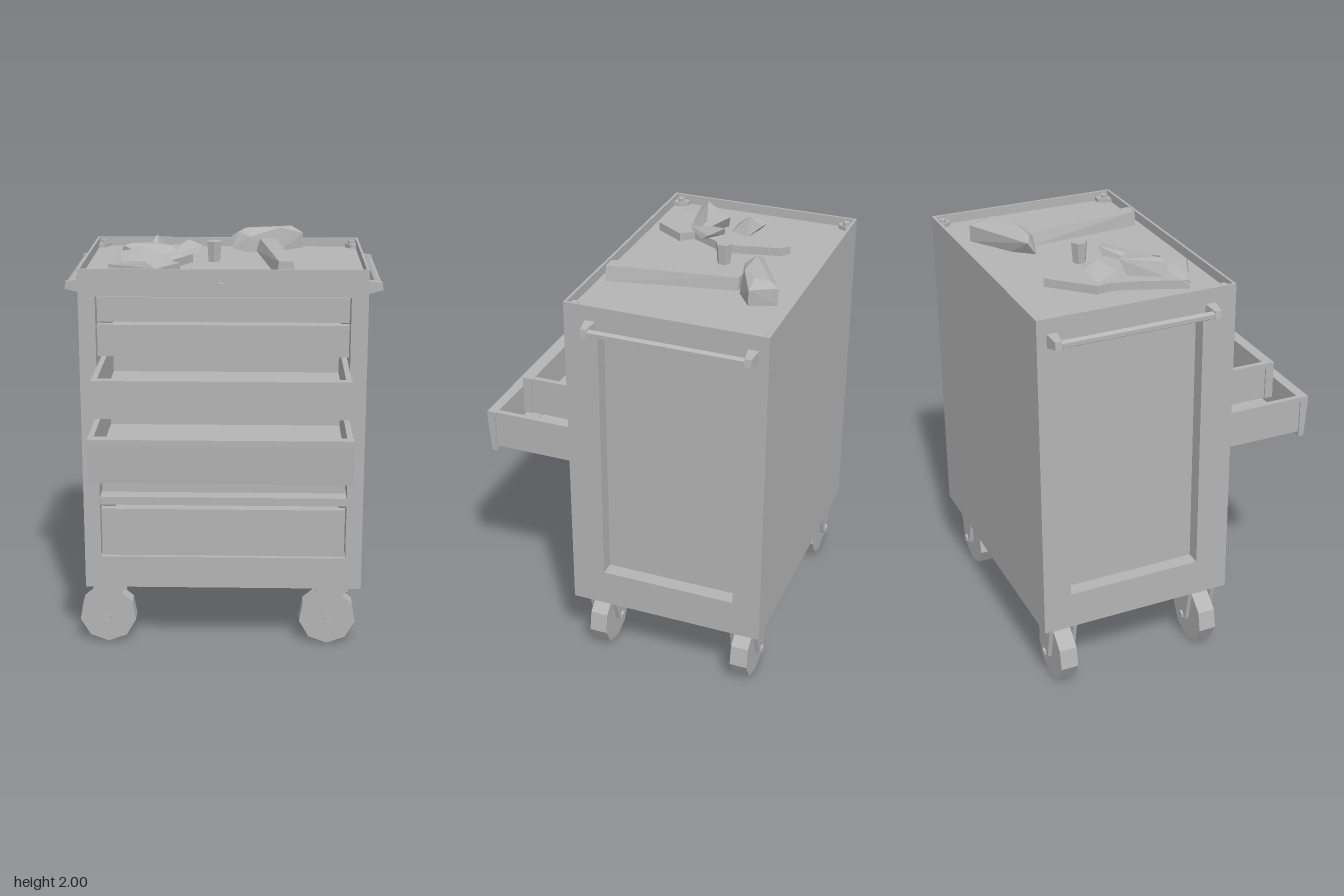
import * as THREE from 'three';
import { ConvexGeometry } from 'three/addons/geometries/ConvexGeometry.js';

export function createModel() {
  const model = new THREE.Group();
  model.name = 'toolCart';
  const grey = new THREE.MeshStandardMaterial({ color: 0xb4b4b4, flatShading: true, side: THREE.DoubleSide });
  grey.name = 'plain grey';

  const add = (name, geo, parent = model) => {
    const m = new THREE.Mesh(geo, grey);
    m.name = name;
    parent.add(m);
    return m;
  };
  // Box given by its limits on each axis
  const box = (name, x0, x1, y0, y1, z0, z1, parent) => {
    const m = add(name, new THREE.BoxGeometry(x1 - x0, y1 - y0, z1 - z0), parent);
    m.position.set((x0 + x1) / 2, (y0 + y1) / 2, (z0 + z1) / 2);
    return m;
  };
  const shapeOf = pts => new THREE.Shape(pts.map(p => new THREE.Vector2(...p)));
  const rect = (a, b, c, d) => [[a, c], [b, c], [b, d], [a, d]];
  const extrude = (shape, depth) => new THREE.ExtrudeGeometry(shape, { depth, bevelEnabled: false });
  // Rectangular plate with a rectangular opening
  const frame = (outer, inner, depth) => {
    const s = shapeOf(rect(...outer));
    s.holes.push(new THREE.Path(rect(...inner).map(p => new THREE.Vector2(...p))));
    return extrude(s, depth);
  };
  // Flat outline in x, z standing between two heights
  const slab = (name, pts, y0, y1, parent) => {
    const g = extrude(shapeOf(pts), y1 - y0);
    g.rotateX(Math.PI / 2);
    g.translate(0, y1, 0);
    return add(name, g, parent);
  };
  const hull = (name, pts, parent) =>
    add(name, new ConvexGeometry(pts.map(p => new THREE.Vector3(...p))), parent);

  // Cabinet shell
  const X = 0.68, B = 0.32, T = 1.91, ZB = -0.705, ZF = 0.24;
  box('backPanel', -X, X, B, T, ZB, ZB + 0.012);
  box('bottomPanel', -X, X, B, B + 0.015, ZB, ZF);
  box('topSurface', -X + 0.005, X - 0.005, 1.845, 1.865, ZB + 0.01, ZF - 0.01);
  add('frontFrame', frame([-X, X, B, T], [-0.6, 0.6, 0.48, 1.78], 0.012)).position.z = ZF - 0.012;
  box('openingFloor', -0.6, 0.6, 0.465, 0.48, ZB + 0.02, ZF - 0.01);
  box('openingCeiling', -0.6, 0.6, 1.78, 1.795, ZB + 0.02, ZF - 0.01);

  for (const s of [-1, 1]) {
    const side = new THREE.Group();
    side.name = s > 0 ? 'leftSide' : 'rightSide';
    model.add(side);
    // Side frame with its sunken panel
    const g = frame([-ZF, -ZB, B, T], [-0.08, 0.57, 0.5, 1.78], 0.012);
    g.rotateY(Math.PI / 2);
    add('sideFrame', g, side).position.x = s > 0 ? X - 0.012 : -X;
    const wall = frame([-0.09, 0.58, 0.49, 1.79], [-0.08, 0.57, 0.5, 1.78], 0.07);
    wall.rotateY(Math.PI / 2);
    add('recessRim', wall, side).position.x = s > 0 ? X - 0.075 : -X + 0.005;
    const px = s * 0.605;
    box('sunkenPanel', px - 0.005, px + 0.005, B + 0.02, 1.84, ZB + 0.02, ZF - 0.012, side);

    // Push handle and brackets
    const bar = add('handleBar', new THREE.CylinderGeometry(0.019, 0.019, 0.76, 6), side);
    bar.rotation.x = Math.PI / 2;
    bar.position.set(s * 0.735, 1.808, -0.26);
    for (const z of [-0.635, 0.115]) {
      hull('handleBracket', [
        [s * 0.675, 1.775, z - 0.025], [s * 0.675, 1.775, z + 0.025],
        [s * 0.675, 1.84, z - 0.025], [s * 0.675, 1.84, z + 0.025],
        [s * 0.755, 1.795, z - 0.015], [s * 0.755, 1.795, z + 0.015],
        [s * 0.75, 1.83, z - 0.015], [s * 0.75, 1.83, z + 0.015]], side);
    }

    // Corner braces with bolts in the top tray
    for (const [z, d] of [[ZB + 0.01, 1], [ZF - 0.01, -1]]) {
      const x = s * 0.67;
      slab('cornerBrace', [[x, z], [x - s * 0.055, z], [x - s * 0.055, z + d * 0.03], [x - s * 0.03, z + d * 0.07], [x, z + d * 0.07]], 1.86, 1.885);
      add('cornerBolt', new THREE.CylinderGeometry(0.016, 0.016, 0.02, 8))
        .position.set(x - s * 0.028, 1.892, z + d * 0.032);
    }
  }

  // Lock
  const lock = add('lock', new THREE.CylinderGeometry(0.021, 0.021, 0.035, 10));
  lock.rotation.x = Math.PI / 2;
  lock.position.set(-0.01, 1.83, ZF + 0.014);

  // Closed drawers: bottom, top, lip height, face depth
  for (const [y0, y1, lip, z] of [
    [1.655, 1.775, 0.045, 0.215], [1.49, 1.645, 0.02, 0.225],
    [0.79, 0.965, 0.02, 0.16], [0.485, 0.73, 0.015, 0.23]]) {
    const d = new THREE.Group();
    d.name = 'closedDrawer';
    model.add(d);
    box('drawerFace', -0.594, 0.594, y0, y1, z - 0.03, z, d);
    box('drawerLip', -0.594, 0.594, y1 - lip, y1, z - 0.01, z + 0.012, d);
    box('drawerFloor', -0.59, 0.59, y0, y0 + 0.012, -0.6, z - 0.02, d);
  }
  box('lowerRail', -0.6, 0.6, 0.745, 0.785, -0.6, 0.225);
  for (const y of [1.235, 0.985]) box('drawerRail', -0.6, 0.6, y - 0.008, y + 0.008, 0.18, 0.22);

  // Open drawers: bottom, top, front
  for (const [y0, y1, zf, drop] of [[1.26, 1.44, 0.5, 0], [1.035, 1.22, 0.7, 0.025]]) {
    const d = new THREE.Group();
    d.name = 'openDrawer';
    model.add(d);
    const zb = zf - 0.85;
    box('drawerFloor', -0.59, 0.59, y0, y0 + 0.015, zb, zf - 0.03, d);
    box('drawerBack', -0.59, 0.59, y0, y1 - 0.01, zb, zb + 0.015, d);
    for (const s of [-1, 1]) {
      const x = s * 0.585;
      box('drawerWall', x - 0.008, x + 0.008, y0, y1, zb, zf - 0.02, d);
      box('wallRim', x - 0.015, x + 0.011, y1 - 0.02, y1, zb, zf - 0.02, d);
    }
    const g = extrude(shapeOf([[zf - 0.04, y0 - drop], [zf - (drop ? 0.014 : 0), y0 - drop],
      [zf, y1 - 0.03], [zf, y1], [zf - 0.05, y1], [zf - 0.05, y1 - 0.02], [zf - 0.04, y1 - 0.025]]), 1.2);
    g.rotateY(-Math.PI / 2);
    add('drawerFront', g, d).position.x = 0.6;
  }

  // Contents of the upper open drawer
  slab('wrench', [[-0.42, 0.38], [-0.38, 0.33], [-0.3, 0.32], [-0.25, 0.26], [-0.2, 0.32], [-0.06, 0.31],
    [-0.03, 0.34], [-0.06, 0.37], [-0.22, 0.35], [-0.3, 0.39], [-0.38, 0.4]], 1.275, 1.32);
  slab('pliers', [[0.06, 0.31], [0.12, 0.29], [0.2, 0.33], [0.32, 0.31], [0.42, 0.33], [0.47, 0.39],
    [0.43, 0.39], [0.38, 0.36], [0.28, 0.38], [0.2, 0.38], [0.12, 0.36]], 1.275, 1.36);
  hull('looseBit', [[-0.58, 1.275, 0.25], [-0.47, 1.275, 0.25], [-0.47, 1.275, 0.29], [-0.53, 1.275, 0.33],
    [-0.57, 1.34, 0.27], [-0.5, 1.35, 0.26]]);
  for (const [x, z] of [[-0.01, 0.26], [0.36, 0.3]])
    add('socket', new THREE.CylinderGeometry(0.02, 0.02, 0.1, 8)).position.set(x, 1.325, z);

  // Contents of the lower open drawer
  hull('longTool', [[-0.05, 1.05, 0.5], [0.0, 1.05, 0.55], [0.2, 1.05, 0.58], [0.4, 1.05, 0.57], [0.52, 1.05, 0.52],
    [0.5, 1.05, 0.46], [0.05, 1.09, 0.52], [0.22, 1.1, 0.55], [0.42, 1.1, 0.53], [0.2, 1.05, 0.46]]);
  for (const x of [-0.47, 0.23])
    slab('smallPart', [[x - 0.04, 0.61], [x, 0.6], [x + 0.04, 0.62], [x + 0.02, 0.635], [x - 0.03, 0.63]], 1.05, 1.08);

  // Hammer
  const hammer = new THREE.Group();
  hammer.name = 'hammer';
  model.add(hammer);
  hull('hammerHead', [[0.03, 1.9, -0.42], [0.03, 1.96, -0.46], [0.11, 1.885, -0.39], [0.12, 1.96, -0.4],
    [0.27, 1.885, -0.43], [0.39, 1.89, -0.51], [0.39, 1.965, -0.51], [0.34, 1.89, -0.63], [0.335, 1.97, -0.63],
    [0.06, 1.98, -0.44], [0.1, 2.0, -0.45], [0.27, 2.0, -0.45], [0.33, 2.0, -0.52], [0.31, 1.99, -0.58],
    [0.13, 1.89, -0.5]], hammer);
  hull('hammerHandle', [[0.15, 1.89, -0.42], [0.26, 1.89, -0.42], [0.17, 1.95, -0.42], [0.25, 1.95, -0.42],
    [0.25, 1.87, 0.19], [0.34, 1.87, 0.19], [0.26, 1.94, 0.19], [0.325, 1.94, 0.19]], hammer);

  // Knob
  const knob = add('knob', new THREE.CylinderGeometry(0.04, 0.032, 0.1, 6));
  knob.position.set(-0.055, 1.915, -0.24);

  // Rag with a pile of small tools
  const pile = new THREE.Group();
  pile.name = 'toolPile';
  model.add(pile);
  slab('rag', [[-0.44, -0.32], [-0.26, -0.5], [-0.22, -0.47], [-0.16, -0.2], [-0.26, -0.02], [-0.21, 0.04],
    [-0.3, 0.18], [-0.37, 0.17], [-0.55, 0.08], [-0.47, -0.12], [-0.43, -0.25]], 1.865, 1.905, pile);
  hull('pileGrip', [[-0.4, 1.9, -0.3], [-0.36, 1.96, -0.35], [-0.31, 1.96, -0.34], [-0.29, 1.9, -0.27],
    [-0.32, 1.9, -0.18], [-0.38, 1.93, -0.2], [-0.34, 1.99, -0.27]], pile);
  hull('pileJaw', [[-0.38, 1.9, -0.15], [-0.34, 1.97, -0.17], [-0.2, 1.92, -0.05], [-0.26, 1.97, -0.08],
    [-0.3, 1.9, 0.02], [-0.44, 1.99, -0.02], [-0.5, 1.92, -0.02], [-0.48, 1.98, 0.0]], pile);
  hull('pileArm', [[-0.32, 1.92, -0.06], [-0.18, 1.98, -0.2], [-0.11, 1.96, -0.14], [-0.13, 1.93, -0.1],
    [-0.26, 1.93, 0.0], [-0.2, 1.94, -0.19]], pile);
  hull('pileBase', [[-0.56, 1.88, 0.08], [-0.5, 1.95, -0.01], [-0.4, 1.98, 0.0], [-0.28, 1.94, 0.0],
    [-0.22, 1.89, 0.05], [-0.31, 1.9, 0.19], [-0.37, 1.93, 0.15], [-0.48, 1.92, 0.1]], pile);

  // Casters
  for (const cx of [-0.55, 0.55]) for (const cz of [0.13, -0.6]) {
    const c = new THREE.Group();
    c.name = 'caster';
    c.position.set(cx, 0, cz);
    model.add(c);
    box('mountPlate', -0.09, 0.07, 0.29, 0.325, -0.08, 0.08, c);
    const wheel = add('wheel', new THREE.CylinderGeometry(0.142, 0.142, 0.085, 9), c);
    wheel.rotation.x = Math.PI / 2;
    wheel.position.set(-0.03, 0.14, 0);
    for (const s of [-1, 1]) {
      const fork = extrude(shapeOf([[-0.1, 0.31], [-0.065, 0.13], [-0.03, 0.105], [0, 0.13], [0.06, 0.31]]), 0.02);
      add('forkPlate', fork, c).position.z = s * 0.06 - 0.01;
    }
    const axle = add('axle', new THREE.CylinderGeometry(0.02, 0.02, 0.16, 6), c);
    axle.rotation.x = Math.PI / 2;
    axle.position.set(-0.03, 0.14, 0);
  }

  return model;
}
